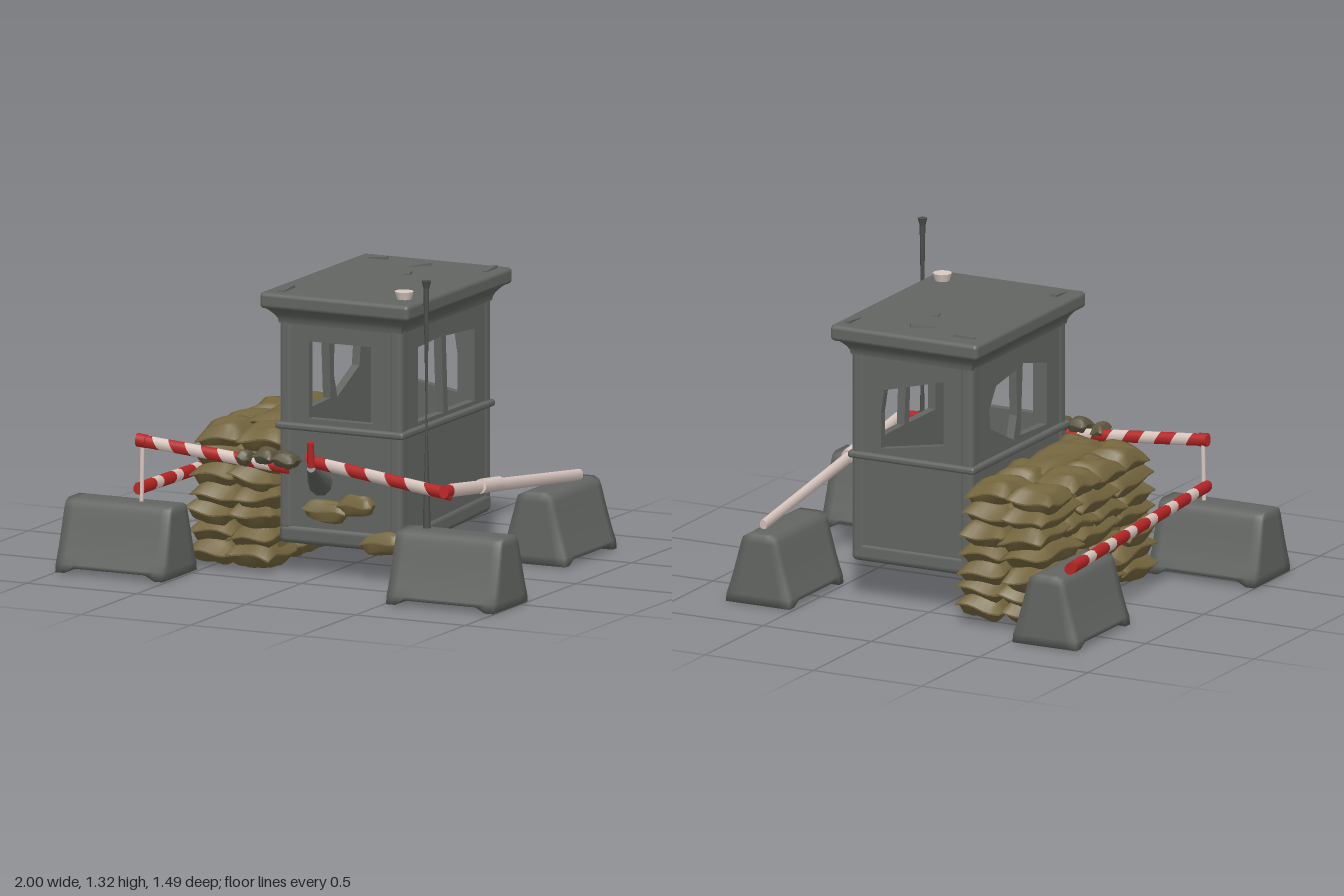
import * as THREE from 'three';
import { mergeVertices } from 'three/addons/utils/BufferGeometryUtils.js';
import { RoundedBoxGeometry } from 'three/addons/geometries/RoundedBoxGeometry.js';

const mat = (name, color) => {
  const m = new THREE.MeshStandardMaterial({ color });
  m.name = name;
  return m;
};

export function createModel() {
  const concrete = mat('concrete grey', 0x626561);
  const darkMetal = mat('dark metal', 0x4c4e4b);
  const burlap = mat('burlap olive', 0x74663e);
  const strap = mat('strap olive grey', 0x5c5640);
  const red = mat('barrier red', 0xb82626);
  const pale = mat('barrier pale', 0xdac8c0);

  const model = new THREE.Group();
  model.name = 'guardPost';

  let seed = 7;
  const rand = (a, b) => {
    seed = (seed * 16807) % 2147483647;
    return a + (b - a) * (seed / 2147483647);
  };
  const group = (name, parent = model) => {
    const g = new THREE.Group();
    g.name = name;
    parent.add(g);
    return g;
  };
  const add = (name, geo, material, x, y, z, parent = model) => {
    const m = new THREE.Mesh(geo, material);
    m.name = name;
    m.position.set(x, y, z);
    parent.add(m);
    return m;
  };
  // Round box given by its minimum and maximum corners
  const slab = (name, a, b, r, material, parent) =>
    add(name, new RoundedBoxGeometry(b[0] - a[0], b[1] - a[1], b[2] - a[2], 2, r), material,
      (a[0] + b[0]) / 2, (a[1] + b[1]) / 2, (a[2] + b[2]) / 2, parent);
  // Share vertices so that normals run smoothly round the edges
  const smooth = geo => {
    geo.deleteAttribute('uv');
    geo.deleteAttribute('normal');
    const g = mergeVertices(geo, 1e-5);
    g.computeVertexNormals();
    return g;
  };
  const UP = new THREE.Vector3(0, 1, 0);
  // Tapered rod from a to b
  const rod = (name, a, b, r1, r2, material, parent = model) => {
    const p = new THREE.Vector3(...a), q = new THREE.Vector3(...b);
    const d = q.clone().sub(p);
    const m = add(name, new THREE.CylinderGeometry(r2, r1, d.length(), 10), material, 0, 0, 0, parent);
    m.position.copy(p).add(q).multiplyScalar(0.5);
    m.quaternion.setFromUnitVectors(UP, d.normalize());
    return m;
  };
  // Flattened bar cut into slanted stripes; redShare is the red part of each pair
  const stripedBar = (name, a, b, r, n, flatAxis, redShare) => {
    const g = group(name);
    const p = new THREE.Vector3(...a), q = new THREE.Vector3(...b);
    const pairs = (n - 1) / 2 + redShare;
    let t = 0;
    for (let i = 0; i < n; i++) {
      const next = t + (i % 2 ? 1 - redShare : redShare) / pairs;
      const m = rod('stripe', p.clone().lerp(q, t).toArray(), p.clone().lerp(q, next).toArray(), r, r, i % 2 ? pale : red, g);
      const pos = m.geometry.attributes.position;
      for (let k = 0; k < pos.count; k++) pos.setY(k, pos.getY(k) + pos.getX(k) * 0.7);
      m.scale[flatAxis] = 0.68;
      t = next;
    }
  };

  // ---- Booth ----
  const booth = group('booth');
  const T = 0.035, Y0 = 0.18, Y1 = 1.1;
  const X0 = -0.18, X1 = 0.37, Z0 = -0.47, Z1 = 0.335;
  const wall = (name, u0, u1, holes) => {
    const s = new THREE.Shape([[u0, Y0], [u1, Y0], [u1, Y1], [u0, Y1]].map(p => new THREE.Vector2(...p)));
    holes.forEach(h => s.holes.push(new THREE.Path(h.map(p => new THREE.Vector2(...p)))));
    return add(name, new THREE.ExtrudeGeometry(s, { depth: T, bevelEnabled: false }), concrete, 0, 0, 0, booth);
  };
  wall('frontWall', X0, X1, [[[-0.05, 0.65], [0.24, 0.65], [0.24, 0.97], [-0.05, 0.97]]]).position.z = Z1 - T;
  wall('backWall', X0, X1, [[[-0.05, 0.7], [0.24, 0.65], [0.24, 0.8], [0.225, 0.9], [-0.05, 0.97]]]).position.z = Z0;
  const brokenWindows = [
    [[0.18, 0.65], [-0.05, 0.66], [-0.03, 0.96], [0.18, 0.91]],
    [[-0.11, 0.655], [-0.31, 0.75], [-0.32, 0.83], [-0.26, 0.92], [-0.085, 0.945], [-0.08, 0.75]],
  ];
  const openWindows = [
    [[0.18, 0.645], [-0.05, 0.645], [-0.03, 0.965], [0.18, 0.955]],
    [[-0.09, 0.645], [-0.33, 0.645], [-0.33, 0.945], [-0.07, 0.96]],
  ];
  for (const [name, x, holes] of [['rightWall', X0 + T, brokenWindows], ['leftWall', X1, openWindows]]) {
    const w = wall(name, Z0, Z1, holes);
    w.rotation.y = -Math.PI / 2;
    w.position.x = x;
  }
  // Base, a little lower at the front
  slab('base', [X0 - 0.008, 0.143, Z0 - 0.006], [X1 + 0.008, 0.225, Z1 + 0.006], 0.025, concrete, booth).rotation.x = 0.05;
  // Corner pillars and belt moulding
  for (const x of [X0 + 0.025, X1 - 0.025]) {
    for (const z of [Z0 + 0.025, Z1 - 0.025])
      slab('cornerPillar', [x - 0.03, 0.18, z - 0.03], [x + 0.03, 1.1, z + 0.03], 0.02, concrete, booth);
  }
  for (const z of [Z0, Z1])
    slab('belt', [X0 - 0.018, 0.598, z - 0.018], [X1 + 0.018, 0.628, z + 0.018], 0.012, concrete, booth);
  for (const x of [X0, X1])
    slab('belt', [x - 0.018, 0.598, Z0 - 0.018], [x + 0.018, 0.628, Z1 + 0.018], 0.012, concrete, booth);
  // Eaves flaring out in a curve from the walls to the roof
  const eaves = new THREE.BoxGeometry(0.66, 0.07, 0.92, 1, 4, 1);
  const ep = eaves.attributes.position;
  for (let i = 0; i < ep.count; i++) {
    const drop = 1 - Math.pow(ep.getY(i) / 0.07 + 0.5, 2);
    ep.setX(i, ep.getX(i) * (1 - 0.155 * drop));
    ep.setZ(i, ep.getZ(i) * (1 - 0.11 * drop));
  }
  eaves.computeVertexNormals();
  add('eaves', eaves, concrete, 0.095, 1.072, -0.07, booth);
  slab('roof', [-0.245, 1.1, -0.55], [0.435, 1.168, 0.4], 0.018, concrete, booth);
  for (const [x, z, w, d, a] of [[-0.17, 0.3, 0.03, 0.1, 0], [0.08, -0.4, 0.11, 0.03, 0.6], [-0.14, -0.46, 0.09, 0.02, 0.1],
    [0.38, -0.45, 0.02, 0.1, 0], [0.12, -0.22, 0.03, 0.05, 0.3]])
    add('roofChip', new THREE.BoxGeometry(w, 0.012, d), concrete, x, 1.17, z, booth).rotation.set(0.08, a, 0.08);
  add('roofLamp', new THREE.CylinderGeometry(0.04, 0.03, 0.034, 9), pale, 0.348, 1.183, 0.262, booth);

  // ---- Concrete blocks: wide foot, narrow top, raised middle underneath ----
  const block = (name, x, z, len, wid, turn) => {
    const H = 0.295;
    const g = new THREE.BoxGeometry(len, H, wid, 12, 8, 6);
    const p = g.attributes.position;
    for (let i = 0; i < p.count; i++) {
      const px = p.getX(i), t = p.getY(i) / H + 0.5;
      const f = t < 0.1 ? 1 : 1 - 0.52 * Math.pow((t - 0.1) / 0.9, 0.85);
      let y = t * H;
      if (t < 0.01 && Math.abs(px) < len * 0.36) y = 0.022;
      if (t > 0.99 && Math.abs(p.getZ(i)) > wid * 0.45) y -= 0.012;
      p.setXYZ(i, px * (1 - 0.03 * t), y, p.getZ(i) * f);
    }
    add(name, smooth(g), concrete, x, 0, z).rotation.y = turn;
  };
  for (const s of [-1, 1]) {
    block('frontBlock', s * 0.755, 0.59, 0.49, 0.31, 0);
    block('backBlock', s * 0.662, -0.512, 0.465, 0.295, Math.PI / 2);
  }

  // ---- Barrier bars ----
  stripedBar('frontBarRight', [-0.69, 0.548, 0.595], [-0.03, 0.492, 0.582], 0.026, 9, 'z', 0.5);
  stripedBar('frontBarLeft', [0.06, 0.52, 0.55], [0.73, 0.455, 0.62], 0.026, 7, 'z', 0.5);
  stripedBar('sideBarRight', [-0.69, 0.35, 0.6], [-0.73, 0.315, -0.645], 0.027, 13, 'x', 0.64);
  rod('sideBarLeft', [0.72, 0.462, 0.59], [0.69, 0.312, -0.645], 0.028, 0.024, pale).scale.x = 0.65;
  rod('sideBarSleeve', [0.716, 0.43, 0.3], [0.712, 0.409, 0.12], 0.031, 0.031, pale).scale.x = 0.85;
  rod('barCap', [0.72, 0.465, 0.64], [0.72, 0.46, 0.585], 0.028, 0.028, red).scale.x = 0.8;
  rod('cornerPost', [-0.685, 0.28, 0.59], [-0.68, 0.555, 0.59], 0.009, 0.009, pale);
  rod('cornerCap', [-0.7, 0.55, 0.595], [-0.66, 0.546, 0.595], 0.028, 0.028, red).scale.z = 0.85;
  rod('pivotPeg', [0.08, 0.5, 0.57], [0.083, 0.605, 0.585], 0.016, 0.014, red);
  rod('supportArm', [0.0, 0.385, 0.32], [0.08, 0.495, 0.57], 0.056, 0.018, concrete);

  // ---- Antenna, thinned at the middle ----
  rod('antennaLower', [0.61, 0.28, 0.575], [0.61, 0.75, 0.578], 0.017, 0.003, darkMetal);
  rod('antennaUpper', [0.61, 0.75, 0.578], [0.608, 1.29, 0.575], 0.003, 0.012, darkMetal);
  rod('antennaTip', [0.608, 1.29, 0.575], [0.608, 1.32, 0.575], 0.012, 0.02, darkMetal);

  // ---- Sandbags: pillows with pinched seams and flared corners ----
  const bag = (name, x, y, z, w, h, d, parent, material = burlap) => {
    const g = new THREE.BoxGeometry(2, 2, 2, 8, 1, 8);
    const p = g.attributes.position;
    const ripple = rand(0, 6);
    for (let i = 0; i < p.count; i++) {
      const u = p.getX(i), v = p.getZ(i);
      const fat = 0.06 + 0.94 * Math.sqrt((1 - u ** 4) * (1 - v ** 4));
      const waist = 1 - 0.07 * (1 - u * u) * v * v;
      const side = 1 - 0.1 * (1 - v * v) * u * u;
      p.setXYZ(i, u * side * w / 2, (p.getY(i) * fat + 0.16 * Math.sin(u * 3 + v * 4 + ripple)) * h / 2, v * waist * d / 2);
    }
    g.computeVertexNormals();
    const m = add(name, g, material, x, y, z, parent);
    m.rotation.set(rand(-0.07, 0.07), rand(-0.07, 0.07), rand(-0.13, 0.13));
    return m;
  };
  const stack = group('sandbagWall');
  slab('wallCore', [-0.53, 0.07, -0.5], [-0.22, 0.5, 0.29], 0.02, burlap, stack);
  for (let row = 0; row < 7; row++) {
    const y = 0.07 + row * 0.077;
    const back = -0.6 + Math.max(0, row - 4) * 0.03;
    const front = 0.385 - Math.max(0, row - 3) * 0.018;
    const n = row % 2 ? 3 : 4;
    const len = (front - back) / n;
    for (const x of [-0.475, -0.285])
      for (let i = 0; i < n; i++)
        bag('sandbag', x + rand(-0.015, 0.012), y + rand(-0.01, 0.008), back + len * (i + 0.5),
          0.2, 0.106, len + 0.03, stack);
  }
  bag('topBag', -0.33, 0.57, -0.03, 0.19, 0.07, 0.44, stack);

  // Loose bags against the front of the booth
  const loose = group('looseSandbags');
  bag('looseBag', 0.04, 0.275, 0.35, 0.2, 0.08, 0.07, loose);
  bag('looseBag', 0.18, 0.31, 0.35, 0.16, 0.08, 0.07, loose);
  bag('looseBag', 0.29, 0.16, 0.325, 0.19, 0.085, 0.09, loose);

  // Straps bundled round the bar joint
  for (const [x, y, z, w] of [[-0.2, 0.52, 0.605, 0.055], [-0.11, 0.535, 0.595, 0.085], [-0.02, 0.525, 0.595, 0.1]])
    bag('jointStrap', x, y, z, w, 0.06, 0.09, model, strap);

  return model;
}
